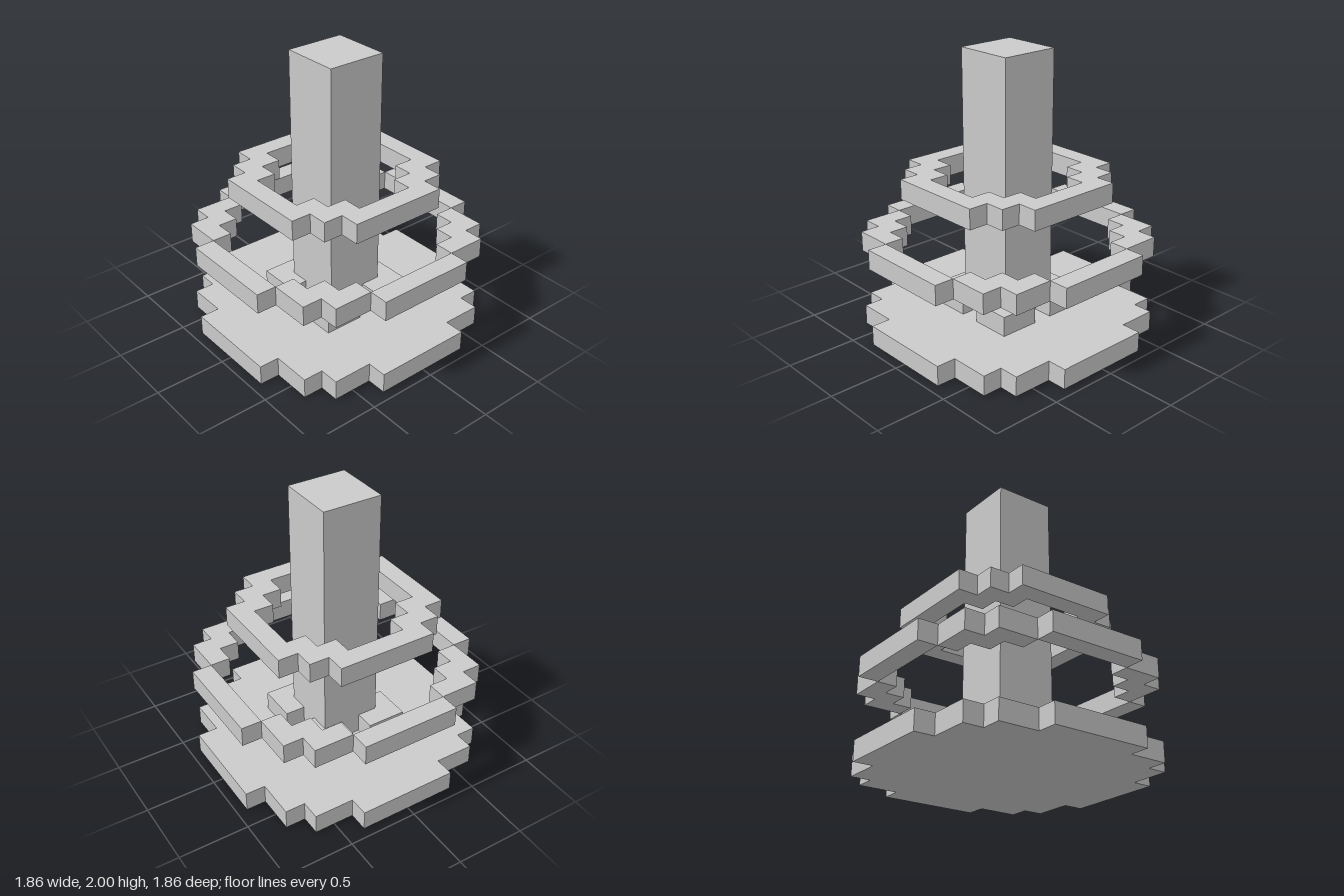
import * as THREE from 'three';

const U = 1 / 7; // one block
const material = new THREE.MeshStandardMaterial({ color: 0xcccccc, flatShading: true });

const toPoints = (list) => list.map(([x, z]) => new THREE.Vector2(x * U, z * U));

// Mirrors one quadrant's stepped corner points into a closed four-way outline
function fourWay(corner) {
  const back = [...corner].reverse();
  return toPoints([
    ...corner,
    ...back.map(([x, z]) => [-x, z]),
    ...corner.map(([x, z]) => [-x, -z]),
    ...back.map(([x, z]) => [x, -z]),
  ]);
}

// Flat slab one block thick, with its underside at level y
function slab(name, outline, y, hole) {
  const shape = new THREE.Shape(outline);
  if (hole) shape.holes.push(new THREE.Path(hole));
  const geometry = new THREE.ExtrudeGeometry(shape, { depth: U, bevelEnabled: false });
  geometry.rotateX(-Math.PI / 2);
  const mesh = new THREE.Mesh(geometry, material);
  mesh.name = name;
  mesh.position.y = y * U;
  return mesh;
}

// Box given by its lower and upper corners in blocks
function block(name, [x0, y0, z0], [x1, y1, z1]) {
  const mesh = new THREE.Mesh(new THREE.BoxGeometry((x1 - x0) * U, (y1 - y0) * U, (z1 - z0) * U), material);
  mesh.name = name;
  mesh.position.set((x0 + x1) / 2 * U, (y0 + y1) / 2 * U, (z0 + z1) / 2 * U);
  return mesh;
}

export function createModel() {
  const model = new THREE.Group();
  model.name = 'ringedColumn';

  // Stepped round base
  const disc = [[6.5, 2.5], [5.5, 2.5], [5.5, 4.5], [4.5, 4.5], [4.5, 5.5], [2.5, 5.5], [2.5, 6.5]];
  model.add(slab('base', fourWay(disc), 0));

  // Central column
  model.add(block('column', [-1.5, 1, -1.5], [1.5, 14, 1.5]));

  // Four feet around the column
  for (const sx of [-1, 1]) {
    for (const sz of [-1, 1]) {
      const cx = sx * 1.5, cz = sz * 1.5;
      model.add(block('columnFoot', [cx - 1, 1, cz - 1], [cx + 1, 2, cz + 1]));
    }
  }

  // Lower ring: four bars and four stepped corners meeting edge to edge
  const lowerRing = new THREE.Group();
  lowerRing.name = 'lowerRing';
  const corner = toPoints([[5.5, 2.5], [5.5, 4.5], [4.5, 4.5], [4.5, 5.5], [2.5, 5.5], [2.5, 4.5],
    [3.5, 4.5], [3.5, 3.5], [4.5, 3.5], [4.5, 2.5]]);
  for (let i = 0; i < 4; i++) {
    const quarter = new THREE.Group();
    quarter.name = 'lowerRingQuarter';
    quarter.add(block('ringBar', [-2.5, 4, 5.5], [2.5, 5, 6.5]), slab('ringCorner', corner, 4));
    quarter.rotation.y = i * Math.PI / 2;
    lowerRing.add(quarter);
  }
  model.add(lowerRing);

  // Smaller upper ring
  const outer = [[4.5, 2.5], [3.5, 2.5], [3.5, 3.5], [2.5, 3.5], [2.5, 4.5]];
  const inner = [[3.5, 1.5], [2.5, 1.5], [2.5, 2.5], [1.5, 2.5], [1.5, 3.5]];
  model.add(slab('upperRing', fourWay(outer), 7, fourWay(inner)));

  return model;
}
